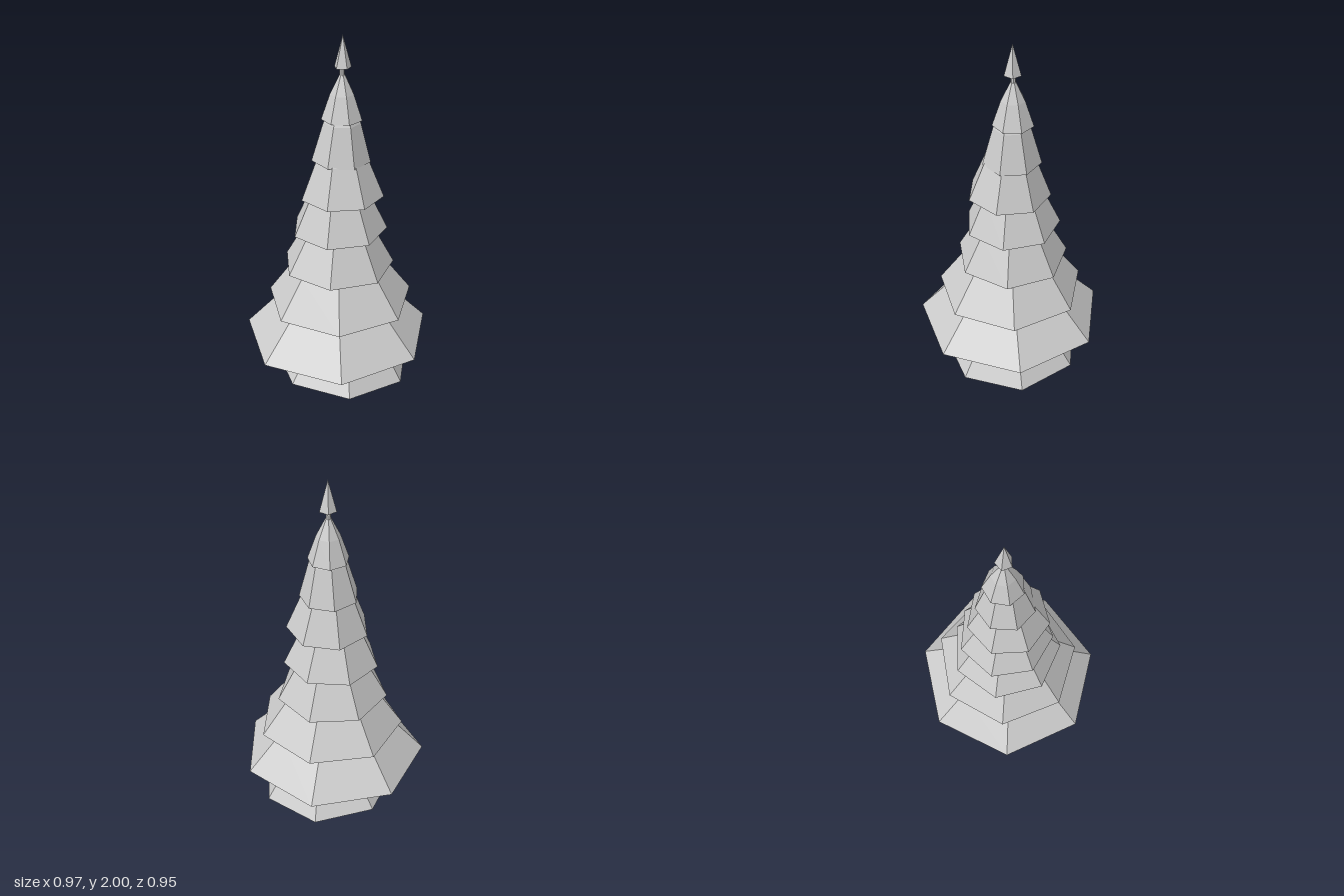
import * as THREE from 'three';

const material = new THREE.MeshStandardMaterial({ color: 0xcccccc, flatShading: true });

// Faceted solid of revolution; angle is where the first corner points, from +x towards +z
function faceted(name, profile, sides, angle = 0) {
  const points = profile.map(([r, y]) => new THREE.Vector2(r, y));
  const phi = THREE.MathUtils.degToRad(90 - angle);
  const geometry = new THREE.LatheGeometry(points, sides, phi).toNonIndexed();
  geometry.computeVertexNormals();
  const mesh = new THREE.Mesh(geometry, material);
  mesh.name = name;
  return mesh;
}

// Skirts of branches: x, z, base height, radius, corner angle, sideways tilt, forward tilt
const TIERS = [
  [0.05, 0.02, 0.14, 0.375, 11, -0.03, 0.02],
  [0.016, 0.016, 0.345, 0.5, 13.5, 0.02, 0.01],
  [0.03, 0.02, 0.555, 0.39, 16.5, 0.02, 0],
  [0.025, 0.01, 0.76, 0.295, 24, -0.015, 0],
  [0.03, 0.01, 0.97, 0.25, 30, 0.01, 0],
  [0.035, 0.03, 1.167, 0.215, 36, 0, -0.025],
  [0.038, 0.015, 1.362, 0.152, 42, -0.02, 0.01],
  [0.046, 0.01, 1.575, 0.105, 48, 0, 0],
];

export function createModel() {
  const tree = new THREE.Group();
  tree.name = 'coniferTree';

  // Trunk, tapering and leaning slightly to the top
  const trunk = faceted('trunk', [[0, 0], [0.062, 0], [0.055, 0.06], [0.05, 0.2], [0.014, 1.75], [0.012, 1.87], [0, 1.87]], 8, 10);
  trunk.position.set(0.025, 0.01, 0.01);
  trunk.rotation.z = -0.011;
  tree.add(trunk);

  // Roots spreading from the foot of the trunk
  const roots = new THREE.Group();
  roots.name = 'roots';
  for (let i = 0; i < 6; i++) {
    const pivot = new THREE.Group();
    pivot.rotation.y = (i * Math.PI) / 3 + 0.25;
    const root = faceted('root', [[0, 0], [0.017, 0], [0.009, 0.115], [0, 0.115]], 5);
    root.position.set(0.025, 0.058, 0);
    root.rotation.z = -Math.PI / 2 - 0.42;
    pivot.add(root);
    roots.add(pivot);
  }
  roots.position.set(0.028, 0, 0.01);
  tree.add(roots);

  // Seven-sided branch tiers, each twisted a little further
  TIERS.forEach(([x, z, y, r, angle, tiltZ, tiltX], i) => {
    const last = i === TIERS.length - 1;
    const upper = last ? [[r * 0.58, 0.13], [0.015, 0.225]] : [[r * 0.63, 0.2], [0.03, 0.32]];
    const tier = faceted(`branchTier${i + 1}`, [[0, 0], [r, 0], ...upper, [0, upper[1][1]]], 7, angle);
    tier.position.set(x, y, z);
    tier.rotation.set(tiltX, 0, tiltZ);
    tree.add(tier);
  });

  // Pointed tip
  const tip = faceted('treeTip', [[0, 0], [0.044, 0], [0, 0.16]], 5, 90);
  tip.position.set(0.046, 1.84, 0.013);
  tree.add(tip);

  return tree;
}
